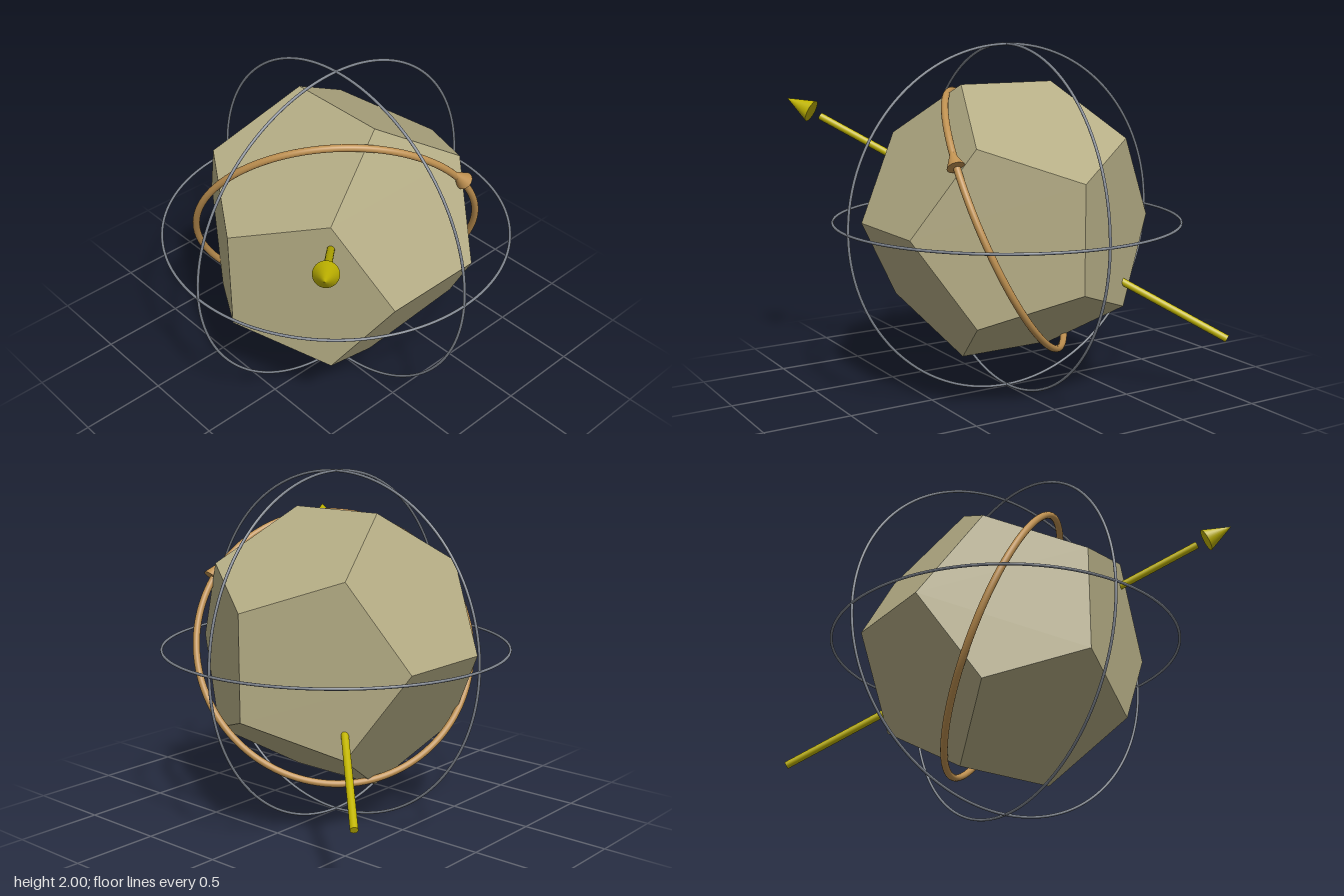
import * as THREE from 'three';

const Y = new THREE.Vector3(0, 1, 0);
const Z = new THREE.Vector3(0, 0, 1);

export function createModel() {
  const model = new THREE.Group();
  model.name = 'dodecahedronWithAxis';

  const solidMat = new THREE.MeshStandardMaterial({ color: 0xb5ad85, flatShading: true });
  const axisMat = new THREE.MeshStandardMaterial({ color: 0xc0b400 });
  const spinMat = new THREE.MeshStandardMaterial({ color: 0xbe9050 });
  const ringMat = new THREE.MeshStandardMaterial({ color: 0x7c828c });

  // everything is built about the origin, then lifted onto the ground
  const body = new THREE.Group();
  body.name = 'body';
  body.position.y = 1;
  model.add(body);

  const add = (name, geometry, material) => {
    const mesh = new THREE.Mesh(geometry, material);
    mesh.name = name;
    body.add(mesh);
    return mesh;
  };

  // cylinder or cone whose middle is at center, pointing along dir
  const addAlong = (name, geometry, material, center, dir) => {
    const mesh = add(name, geometry, material);
    mesh.position.copy(center);
    mesh.quaternion.setFromUnitVectors(Y, dir);
  };

  // faceted solid
  add('dodecahedron', new THREE.DodecahedronGeometry(0.831), solidMat);

  // three great circles, one per coordinate plane
  const ringGeo = new THREE.TorusGeometry(0.992, 0.008, 10, 128);
  add('ringFront', ringGeo, ringMat);
  add('ringSide', ringGeo, ringMat).rotation.y = Math.PI / 2;
  add('ringLevel', ringGeo, ringMat).rotation.x = Math.PI / 2;

  // straight axis through the middle, with a separate arrowhead
  const axis = new THREE.Vector3(1, 0.707, 1).normalize();
  const from = -1.415, to = 1.257, headBase = 1.32, headTip = 1.487;
  addAlong('axisRod', new THREE.CylinderGeometry(0.021, 0.021, to - from, 24), axisMat,
    axis.clone().multiplyScalar((from + to) / 2), axis);
  addAlong('axisArrowhead', new THREE.ConeGeometry(0.066, headTip - headBase, 32), axisMat,
    axis.clone().multiplyScalar((headBase + headTip) / 2), axis);

  // tilted rotation ring with an arrowhead along its tangent
  const normal = new THREE.Vector3(0.71, -0.41, 0.58).normalize();
  const spinRadius = 0.797;
  const spin = add('rotationRing', new THREE.TorusGeometry(spinRadius, 0.02, 16, 128), spinMat);
  spin.quaternion.setFromUnitVectors(Z, normal);
  const headPos = new THREE.Vector3(0.575, 0.43, -0.385)
    .projectOnPlane(normal).setLength(spinRadius + 0.01);
  const tangent = normal.clone().cross(headPos).normalize();
  addAlong('rotationArrowhead', new THREE.ConeGeometry(0.05, 0.12, 32), spinMat, headPos, tangent);

  return model;
}
